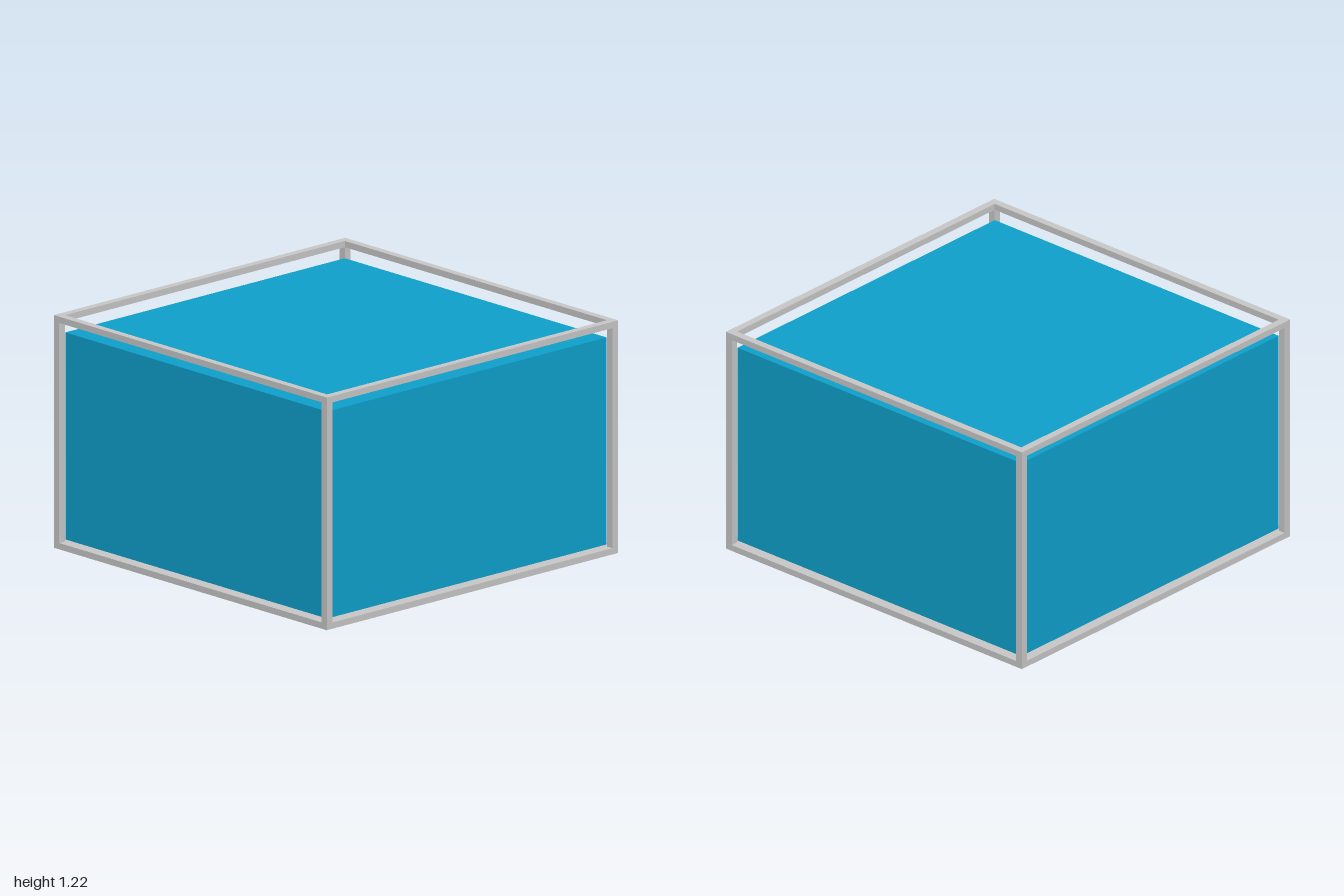
import * as THREE from 'three';

export function createModel() {
  const group = new THREE.Group();
  const frameGrey = new THREE.MeshStandardMaterial({ color: 0xc8c8c8 });
  frameGrey.name = 'frame grey';
  const waterBlue = new THREE.MeshStandardMaterial({ color: 0x0ea0cc });
  waterBlue.name = 'water blue';

  const H = 1.215;      // overall height
  const BAR = 0.04;     // post and rail width
  const RAIL = 0.033;   // rail and floor thickness
  const MID = 1 - BAR / 2;

  function box(name, material, w, h, d, x, y, z) {
    const mesh = new THREE.Mesh(new THREE.BoxGeometry(w, h, d), material);
    mesh.name = name;
    mesh.position.set(x, y, z);
    group.add(mesh);
  }

  // Solid floor slab
  box('floor', frameGrey, 2, RAIL, 2, 0, RAIL / 2, 0);

  // Water block, floating just above the floor and below the top rails
  const bottom = 0.044, top = 1.125, side = 1.918;
  box('water', waterBlue, side, top - bottom, side, 0, (top + bottom) / 2, 0);

  for (const s of [-1, 1]) {
    // Corner posts between floor and top rails
    for (const t of [-1, 1]) {
      box('cornerPost', frameGrey, BAR, H - 2 * RAIL, BAR, s * MID, H / 2, t * MID);
    }
    // Top rails: front and back run full length, side rails fit between
    box('topRail', frameGrey, 2, RAIL, BAR, 0, H - RAIL / 2, s * MID);
    box('topSideRail', frameGrey, BAR, RAIL, 2 - 2 * BAR, s * MID, H - RAIL / 2, 0);
  }
  return group;
}
